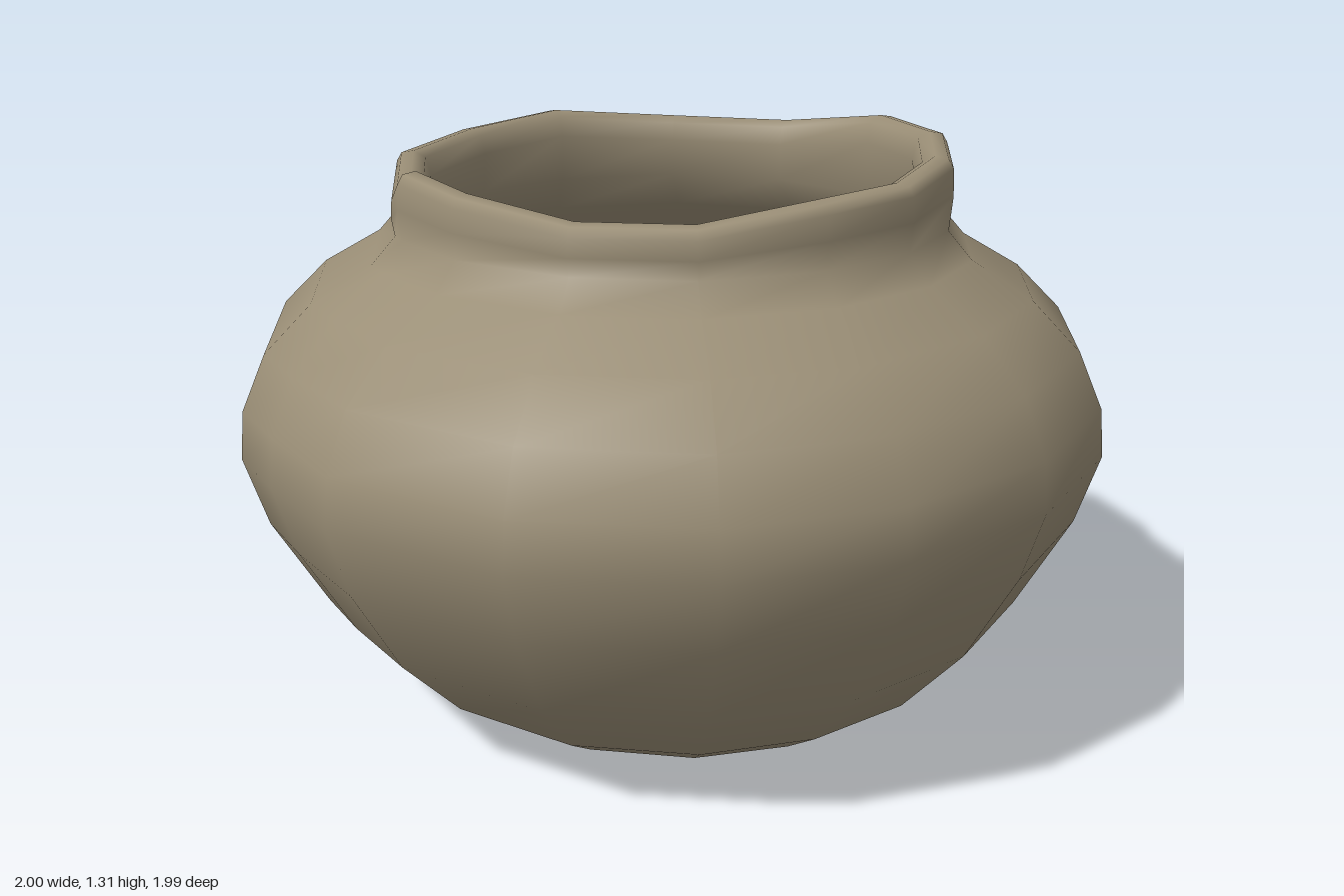
import * as THREE from 'three';

// Columns round the pot: [body angle, body scale, rim angle, rim height]
// The close pair at 195 and 201 degrees forms the chipped step in the lip.
const COLUMNS = [
  [12, 1.02, 10, 1.315], [35, 1.0, 35, 1.315], [59, 1.005, 58, 1.3],
  [81.5, 1.0, 80, 1.28], [104, 1.0, 102, 1.275], [126, 1.01, 126, 1.24],
  [149, 1.013, 149, 1.24], [174, 1.006, 174, 1.27], [190, 0.985, 194, 1.285],
  [202, 1.004, 199, 1.24], [230, 1.015, 230, 1.265], [259, 1.02, 257, 1.275],
  [288, 1.028, 282, 1.295], [315.4, 1.025, 312, 1.27], [344, 1.02, 341, 1.27],
];

// Profile from under the base, over the lip and down inside:
// [radius, height, share of the rim's shape, tilt]
const PROFILE = [
  [0.3, 0.012, 0, 0.03], [0.57, 0.04, 0, 0.045], [0.68, 0.115, 0, 0.03],
  [0.83, 0.285, 0, 0.01], [0.95, 0.5, 0, 0], [1.0, 0.66, 0, 0],
  [0.99, 0.77, 0, 0], [0.935, 0.895, 0, 0], [0.83, 1.0, 0.2, 0],
  [0.7, 1.075, 0.7, 0], [0.648, 1.135, 1, 0], [0.655, 1.2, 1, 0],
  [0.652, 1.255, 1, 0], [0.64, 1.275, 1, 0], [0.61, 1.28, 1, 0],
  [0.582, 1.265, 1, 0], [0.57, 1.22, 1, 0], [0.575, 1.12, 1, 0],
  [0.64, 1.03, 0.7, 0], [0.77, 0.945, 0.2, 0], [0.87, 0.84, 0, 0],
  [0.92, 0.68, 0, 0], [0.86, 0.48, 0, 0], [0.73, 0.3, 0, 0],
  [0.55, 0.17, 0, 0], [0.3, 0.11, 0, 0],
];

function potGeometry() {
  const n = COLUMNS.length;
  const positions = [];
  const index = [];

  for (const [radius, height, rim, tilt] of PROFILE) {
    for (const [bodyAngle, scale, rimAngle, rimHeight] of COLUMNS) {
      const a = THREE.MathUtils.degToRad(THREE.MathUtils.lerp(bodyAngle, rimAngle, rim));
      const r = radius * THREE.MathUtils.lerp(scale, 1, rim);
      const x = r * Math.cos(a) + 0.022 * rim;
      const z = r * Math.sin(a) - 0.032 * rim;
      // only the lip follows the uneven rim height
      const lift = THREE.MathUtils.smoothstep(height, 1.13, 1.25) * rim;
      positions.push(x, height + (rimHeight - 1.28) * lift - tilt * x, z);
    }
  }

  // walls between neighbouring rings
  for (let i = 0; i < PROFILE.length - 1; i++) {
    for (let j = 0; j < n; j++) {
      const k = (j + 1) % n;
      const a = i * n + j, b = i * n + k, c = a + n, d = b + n;
      index.push(a, c, b, b, c, d);
    }
  }

  // underside and inner floor
  const under = positions.length / 3;
  positions.push(0, 0.005, 0, 0, 0.1, 0);
  const last = (PROFILE.length - 1) * n;
  for (let j = 0; j < n; j++) {
    const k = (j + 1) % n;
    index.push(under, j, k);
    index.push(under + 1, last + k, last + j);
  }

  const geometry = new THREE.BufferGeometry();
  geometry.setAttribute('position', new THREE.Float32BufferAttribute(positions, 3));
  geometry.setIndex(index);
  geometry.computeVertexNormals();
  return geometry;
}

export function createModel() {
  const group = new THREE.Group();
  group.name = 'clayPot';
  const clay = new THREE.MeshStandardMaterial({ color: 0x9a8e76 });
  clay.name = 'clay';
  const pot = new THREE.Mesh(potGeometry(), clay);
  pot.name = 'potBody';
  group.add(pot);
  return group;
}
